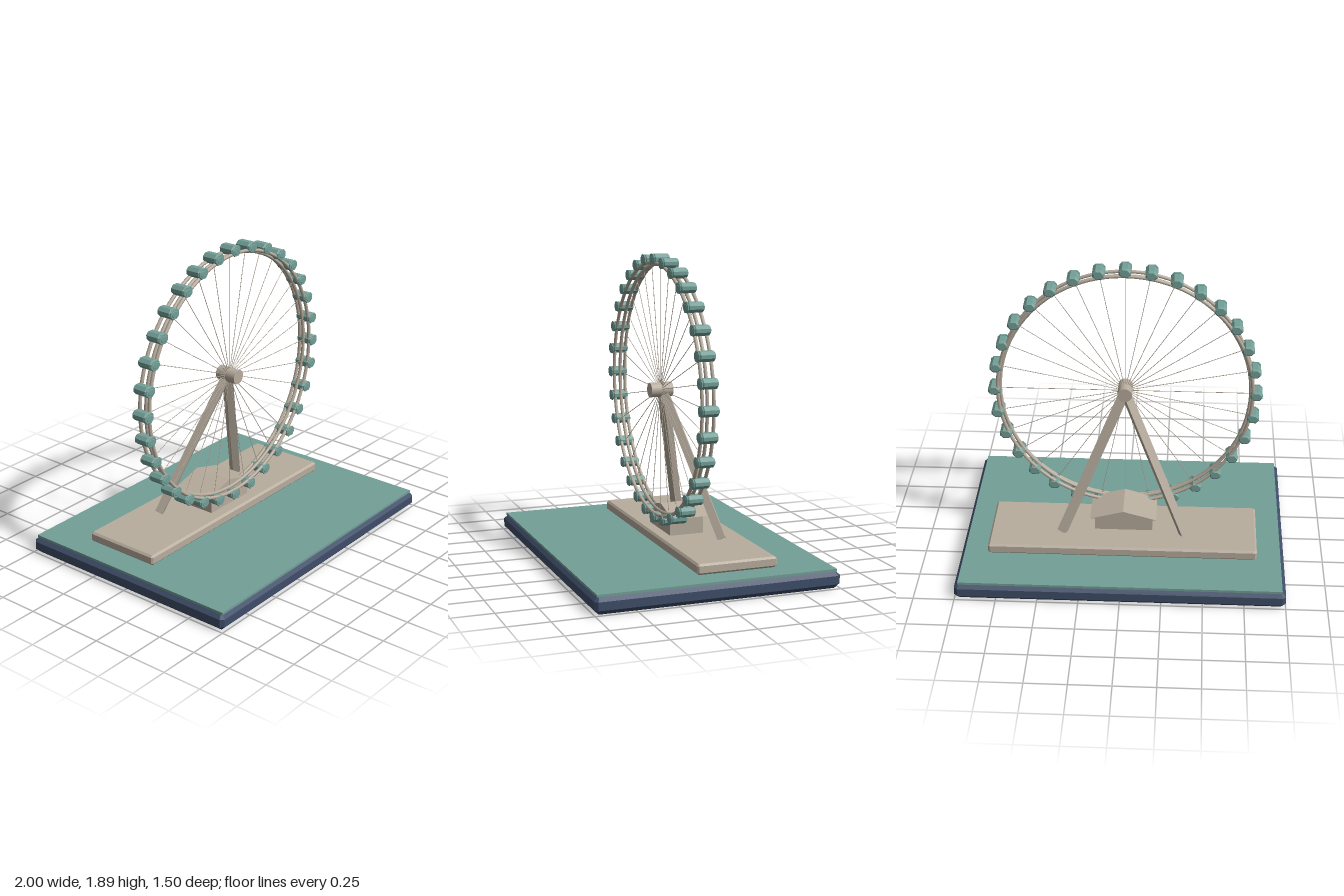
import * as THREE from 'three';

const stone = new THREE.MeshStandardMaterial({ color: 0xb8ad9e });
stone.name = 'stone';
const teal = new THREE.MeshStandardMaterial({ color: 0x739f97 });
teal.name = 'teal';
const navy = new THREE.MeshStandardMaterial({ color: 0x3e4d68 });
navy.name = 'navy';

const HUB_Y = 1.06, COUNT = 32;

function add(parent, name, geometry, material, x = 0, y = 0, z = 0) {
  const mesh = new THREE.Mesh(geometry, material);
  mesh.name = name;
  mesh.position.set(x, y, z);
  parent.add(mesh);
  return mesh;
}

// Rectangle with cut corners, centred on the origin
function cutRect(w, h, c) {
  const x = w / 2, y = h / 2;
  return new THREE.Shape([
    [x - c, -y], [x, c - y], [x, y - c], [x - c, y],
    [c - x, y], [-x, y - c], [-x, c - y], [c - x, -y],
  ].map(([a, b]) => new THREE.Vector2(a, b)));
}

// Block with chamfered edges, centred, depth along z
function chamferedBlock(w, h, d, bevel, cut) {
  const g = new THREE.ExtrudeGeometry(cutRect(w - 2 * bevel, h - 2 * bevel, cut), {
    depth: d - 2 * bevel, bevelThickness: bevel, bevelSize: bevel, bevelSegments: 1,
  });
  return g.translate(0, 0, bevel - d / 2);
}

// Straight beam between two points
function beam(parent, name, a, b, thickness) {
  const dir = b.clone().sub(a);
  const mesh = add(parent, name, new THREE.BoxGeometry(thickness, dir.length(), thickness), stone);
  mesh.position.copy(a).lerp(b, 0.5);
  mesh.quaternion.setFromUnitVectors(new THREE.Vector3(0, 1, 0), dir.normalize());
}

export function createModel() {
  const model = new THREE.Group();
  model.name = 'observationWheel';

  // Plinth, water surface and paved platform
  add(model, 'plinth', chamferedBlock(2, 1.5, 0.106, 0.028, 0.004).rotateX(-Math.PI / 2), navy, 0, 0.053, 0);
  add(model, 'waterSurface', new THREE.BoxGeometry(1.955, 0.015, 1.465), teal, 0, 0.1075, 0);
  add(model, 'platform', chamferedBlock(1.66, 0.5, 0.065, 0.012, 0.003).rotateX(-Math.PI / 2), stone, 0, 0.1475, -0.17);

  // Boarding house with gabled roof
  const house = new THREE.Group();
  house.name = 'boardingHouse';
  model.add(house);
  add(house, 'walls', new THREE.BoxGeometry(0.36, 0.115, 0.215), stone, 0, 0.2375, -0.105);
  const gable = new THREE.Shape([
    new THREE.Vector2(-0.205, 0.29), new THREE.Vector2(0.205, 0.29), new THREE.Vector2(0, 0.346),
  ]);
  add(house, 'roof', new THREE.ExtrudeGeometry(gable, { depth: 0.265, bevelEnabled: false }), stone, 0, 0, -0.265);

  // Splayed support legs
  for (const side of [-1, 1]) {
    beam(model, side > 0 ? 'leftLeg' : 'rightLeg',
      new THREE.Vector3(0.005 * side, 1.05, -0.02),
      new THREE.Vector3(0.38 * side, 0.188, -0.256), 0.05);
  }

  // Wheel: hub, three rims, spokes
  const wheel = new THREE.Group();
  wheel.name = 'wheel';
  wheel.position.y = HUB_Y;
  model.add(wheel);
  add(wheel, 'hub', new THREE.CylinderGeometry(0.045, 0.045, 0.14, 24).rotateX(Math.PI / 2), stone);
  for (const [radius, z] of [[0.778, 0.036], [0.766, 0], [0.778, -0.036]]) {
    add(wheel, 'rim', new THREE.TorusGeometry(radius, 0.011, 8, 96), stone, 0, 0, z);
  }
  const spoke = new THREE.CylinderGeometry(0.002, 0.002, 0.765, 6).translate(0, 0.3825, 0);

  // Upright capsules around the rim, each with a raised front frame
  const body = chamferedBlock(0.073, 0.06, 0.102, 0.009, 0.014);
  const frame = chamferedBlock(0.075, 0.064, 0.008, 0.003, 0.016);
  const pane = chamferedBlock(0.05, 0.036, 0.006, 0.002, 0.009);
  for (let i = 0; i < COUNT; i++) {
    const a = (i / COUNT) * Math.PI * 2;
    add(wheel, 'spoke', spoke, stone).rotation.z = -a;
    const capsule = new THREE.Group();
    capsule.name = 'capsule';
    capsule.position.set(Math.sin(a) * 0.8, Math.cos(a) * 0.8, 0);
    wheel.add(capsule);
    add(capsule, 'capsuleBody', body, teal);
    add(capsule, 'capsuleFrame', frame, teal, 0, 0, 0.054);
    add(capsule, 'capsuleWindow', pane, teal, 0, 0, 0.057);
  }
  return model;
}
